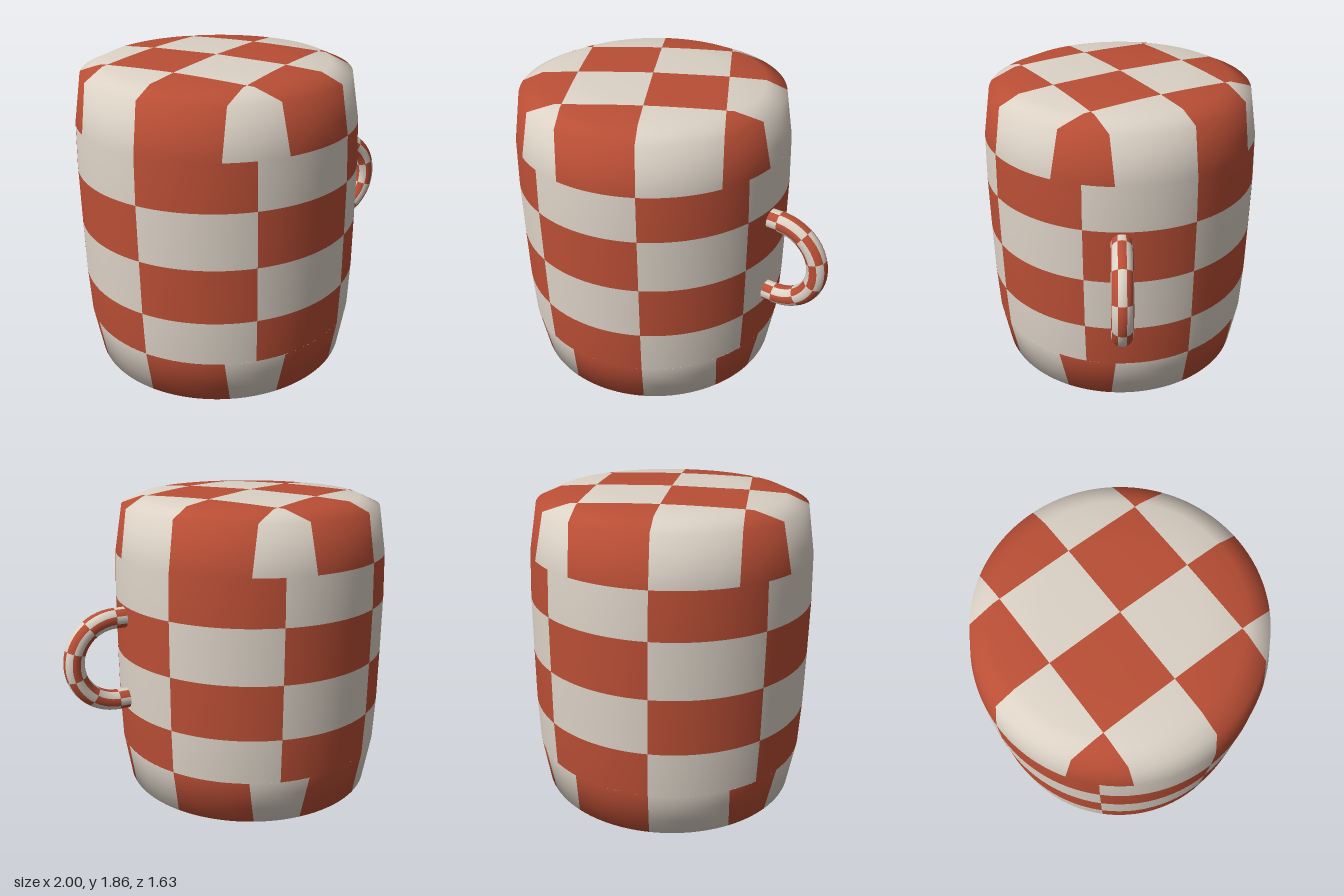
import * as THREE from 'three';

const CX = -0.185, MID = 0.93;   // body axis and mid height
const CELL = 0.432;              // square size on the end caps
const DEG = Math.PI / 180;

// Half profile from pole to equator: radius, height above middle, normal tilt from vertical
const PROFILE = [
  [0, 0.93, 0], [0.4, 0.922, 3], [0.64, 0.908, 14], [0.76, 0.855, 52],
  [0.805, 0.585, 86], [0.815, 0.32, 89], [0.816, 0, 90],
];

// Interpolates the profile by radius (key 0) or by height (key 1)
function profileAt(key, value) {
  let i = 0;
  while (i < PROFILE.length - 2 && (key ? PROFILE[i + 1][1] > value : PROFILE[i + 1][0] < value)) i++;
  const a = PROFILE[i], b = PROFILE[i + 1];
  const t = (value - a[key]) / (b[key] - a[key]);
  return a.map((v, k) => v + (b[k] - v) * t);
}

// Point and normal on the body; side is +1 for the upper half, -1 for the lower
function bodyPoint([r, h, tilt], thetaDeg, side) {
  const s = Math.sin(thetaDeg * DEG), c = Math.cos(thetaDeg * DEG);
  const nr = Math.sin(tilt * DEG), ny = Math.cos(tilt * DEG) * side;
  return {
    p: new THREE.Vector3(CX + r * s, MID + side * h, r * c),
    n: new THREE.Vector3(nr * s, ny, nr * c),
  };
}

// Collects the patches of one colour into a single geometry
class Patches {
  constructor() { this.pos = []; this.nor = []; this.idx = []; }

  // One row of n + 1 points per entry in rows; faces are turned to agree with the normals
  add(rows, n, fn) {
    const base = this.pos.length / 3, pts = [];
    for (const row of rows) {
      for (let j = 0; j <= n; j++) {
        const v = fn(row, j / n);
        pts.push(v);
        this.pos.push(v.p.x, v.p.y, v.p.z);
        this.nor.push(v.n.x, v.n.y, v.n.z);
      }
    }
    const tri = (a, b, c) => {
      const ab = pts[b].p.clone().sub(pts[a].p), ac = pts[c].p.clone().sub(pts[a].p);
      const face = ab.cross(ac);
      if (face.length() < 1e-9) return;
      const out = pts[a].n.clone().add(pts[b].n).add(pts[c].n);
      if (face.dot(out) < 0) [b, c] = [c, b];
      this.idx.push(base + a, base + b, base + c);
    };
    for (let i = 0; i < rows.length - 1; i++) {
      for (let j = 0; j < n; j++) {
        const a = i * (n + 1) + j, b = a + n + 1;
        tri(a, b, a + 1);
        tri(a + 1, b, b + 1);
      }
    }
  }

  geometry() {
    const g = new THREE.BufferGeometry();
    g.setAttribute('position', new THREE.Float32BufferAttribute(this.pos, 3));
    g.setAttribute('normal', new THREE.Float32BufferAttribute(this.nor, 3));
    g.setIndex(this.idx);
    return g;
  }
}

// Rounded end: a square checker projected straight along the axis
function addCap(sets, side) {
  const DIAG = CELL * Math.SQRT2;
  const radii = [0, 0.2, 0.4, CELL, 0.434, 0.438, 0.446, 0.46, 0.49, 0.53, 0.57, DIAG,
    0.64, 0.67, 0.7, 0.73, 0.76, 0.775, 0.79, 0.805];
  const s = (r) => Math.asin(Math.min(1, CELL / Math.max(r, 1e-6))) / DEG;
  const t = (r) => 90 - s(r);
  const zones = [
    // from radius, to radius, start angle, end angle, colour parity
    [0, DIAG, t, s, 0],
    [CELL, 1, () => 0, (r) => Math.min(s(r), t(r)), 1],
    [CELL, 1, (r) => Math.max(s(r), t(r)), () => 90, 1],
    [DIAG, 1, s, t, 0],
  ];
  for (let q = 0; q < 4; q++) {
    for (const [r0, r1, lo, hi, parity] of zones) {
      const rows = radii.filter((r) => r >= r0 && r <= r1);
      sets[(q + parity) % 2].add(rows, 14, (r, u) => {
        const phi = lo(r) + (hi(r) - lo(r)) * u;
        return bodyPoint(profileAt(0, r), 120 - phi - 90 * q, side);
      });
    }
  }
}

// Straight wall: four rows of eight squares
function addWall(sets) {
  const bands = [[1, 0.585, 0.32, 0], [1, 0.32, 0, 1], [-1, 0.32, 0, 0], [-1, 0.585, 0.32, 1]];
  for (const [side, h0, h1, parity] of bands) {
    const rows = [0, 0.25, 0.5, 0.75, 1].map((t) => h0 + (h1 - h0) * t);
    for (let k = 0; k < 8; k++) {
      sets[(k + parity) % 2].add(rows, 12, (h, u) =>
        bodyPoint(profileAt(1, h), 30 + 45 * (k + u), side));
    }
  }
}

// Half-ring handle with short straight ends running into the wall
function addHandle(sets) {
  const RING = 0.25, TUBE = 0.06, X = 0.69;
  const point = (u, psi) => {
    const alpha = Math.min(5, Math.max(0, u)) * 36 * DEG;
    const past = Math.max(0, -u, u - 5) * 0.12;
    const e = new THREE.Vector3(Math.sin(alpha), Math.cos(alpha), 0);
    const n = e.clone().multiplyScalar(Math.cos(psi));
    n.z = Math.sin(psi);
    const p = new THREE.Vector3(X - past, MID, 0)
      .addScaledVector(e, RING).addScaledVector(n, TUBE);
    return { p, n };
  };
  for (let i = -1; i < 6; i++) {
    const rows = Array.from({ length: 7 }, (_, k) => i + k / 6);
    for (let k = 0; k < 8; k++) {
      sets[(i + 1 + k + 1) % 2].add(rows, 4, (u, v) => point(u, (k - 0.5 + v) * 45 * DEG));
    }
  }
}

export function createModel() {
  const red = new THREE.MeshStandardMaterial({ color: 0xb94e35 });
  red.name = 'brick red';
  const cream = new THREE.MeshStandardMaterial({ color: 0xdbd1c5 });
  cream.name = 'cream';

  const model = new THREE.Group();
  model.name = 'checkeredMug';
  const part = (name, build) => {
    const group = new THREE.Group();
    group.name = name;
    const sets = [new Patches(), new Patches()];
    build(sets);
    [red, cream].forEach((material, i) => {
      const mesh = new THREE.Mesh(sets[i].geometry(), material);
      mesh.name = name + (i ? 'CreamSquares' : 'RedSquares');
      group.add(mesh);
    });
    model.add(group);
  };

  part('topCap', (sets) => addCap(sets, 1));
  part('bottomCap', (sets) => addCap(sets, -1));
  part('wall', addWall);
  part('handle', addHandle);
  return model;
}
